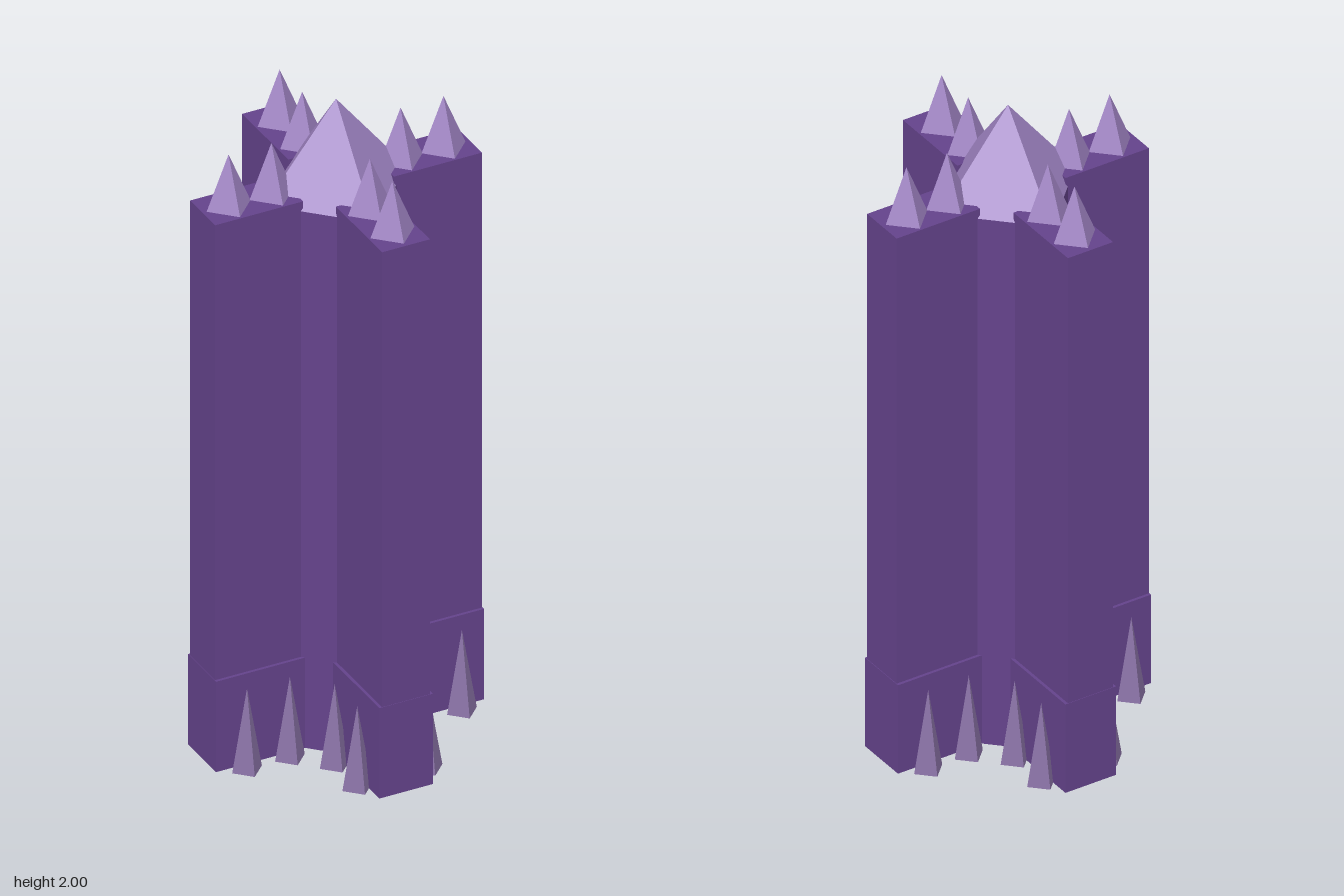
import * as THREE from 'three';

export function createModel() {
  const model = new THREE.Group();
  model.name = 'crystalTower';

  const mat = (name, color) => {
    const m = new THREE.MeshStandardMaterial({ color, flatShading: true });
    m.name = name;
    return m;
  };
  const wall = mat('deep purple', 0x64438b);
  const crystal = mat('pale violet', 0xa084c4);
  const shard = mat('dusky violet', 0x8a72a6);

  const add = (parent, name, geometry, material, x, y, z) => {
    const mesh = new THREE.Mesh(geometry, material);
    mesh.name = name;
    mesh.position.set(x, y, z);
    parent.add(mesh);
  };
  // Four-sided spike standing on y, corners on the axes
  const spike = (parent, name, r, h, material, x, y, z) =>
    add(parent, name, new THREE.ConeGeometry(r, h, 4), material, x, y + h / 2, z);

  // Diamond-plan core with its pyramid roof
  add(model, 'core', new THREE.CylinderGeometry(0.222, 0.222, 1.72, 4), wall, 0, 0.86, 0);
  spike(model, 'corePyramid', 0.222, 0.28, crystal, 0, 1.72, 0);

  // Four identical wings around the core
  const names = ['leftWing', 'backWing', 'rightWing', 'frontWing'];
  names.forEach((name, i) => {
    const wing = new THREE.Group();
    wing.name = name;
    wing.rotation.y = i * Math.PI / 2;
    add(wing, 'wingWall', new THREE.BoxGeometry(0.273, 1.75, 0.148), wall, 0.277, 0.875, 0);
    add(wing, 'wingPlinth', new THREE.BoxGeometry(0.275, 0.29, 0.166), wall, 0.2775, 0.145, 0);
    for (const x of [0.2, 0.333]) {
      spike(wing, 'roofSpike', 0.068, 0.165, crystal, x, 1.75, 0);
      for (const side of [-1, 1]) {
        spike(wing, 'footSpike', 0.046, 0.26, shard, x, 0, side * 0.109);
      }
    }
    model.add(wing);
  });

  return model;
}
